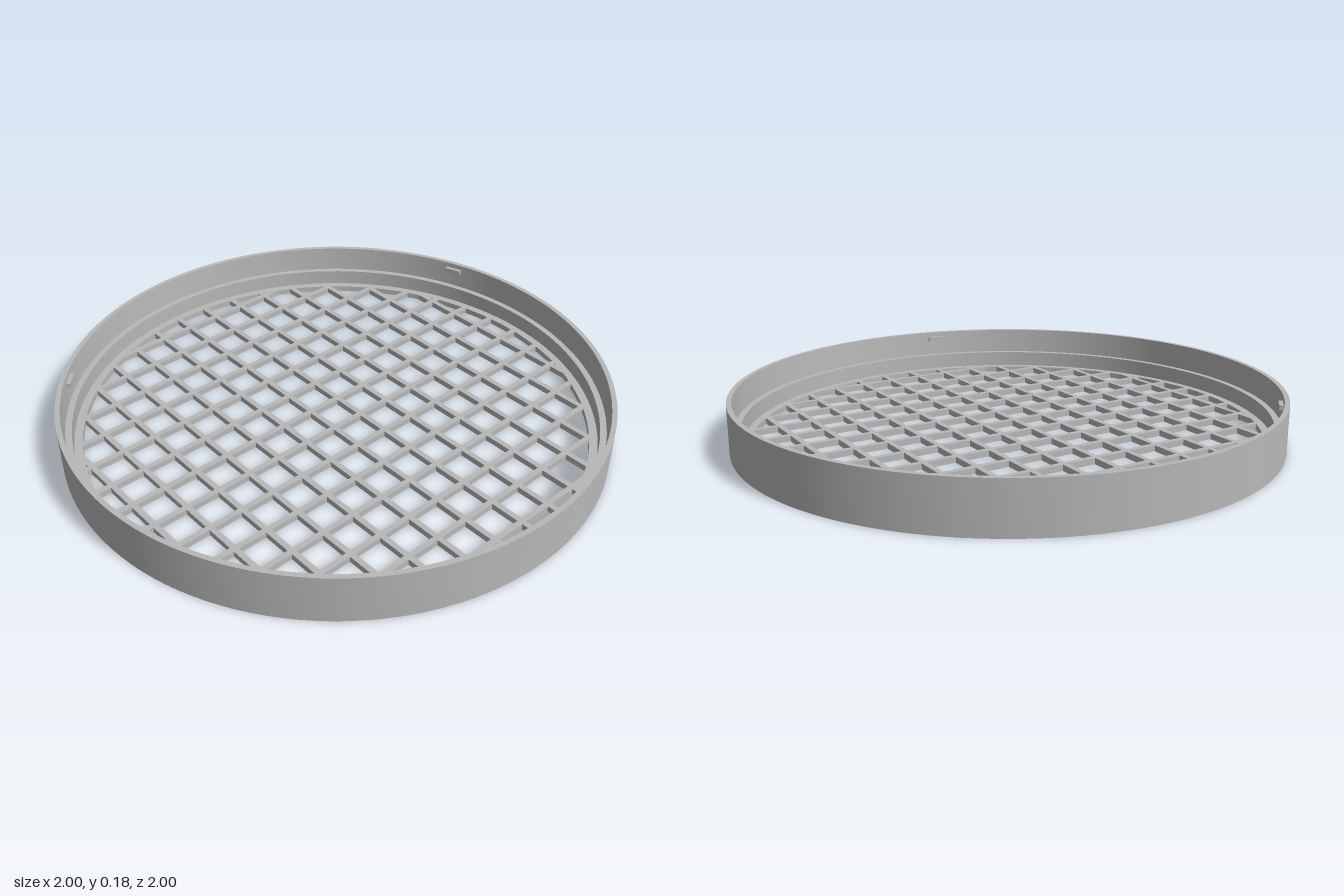
import * as THREE from 'three';
import { toCreasedNormals } from 'three/addons/utils/BufferGeometryUtils.js';

export function createModel() {
  const model = new THREE.Group();
  model.name = 'roundMeshTray';
  const grey = new THREE.MeshStandardMaterial({ color: 0xb8b8b8 });
  grey.name = 'plain grey';

  const add = (name, geometry, parent = model) => {
    const mesh = new THREE.Mesh(geometry, grey);
    mesh.name = name;
    parent.add(mesh);
    return mesh;
  };

  // Stepped ring: floor flange, ledge and thin upper wall
  const floor = 0.022, height = 0.18, opening = 0.925;
  const profile = [
    [opening, 0], [1, 0], [1, height], [0.982, height], [0.978, 0.082],
    [0.955, 0.082], [0.955, floor], [opening, floor], [opening, 0],
  ].map(([r, y]) => new THREE.Vector2(r, y));
  add('rim', toCreasedNormals(new THREE.LatheGeometry(profile, 128), 0.5));

  // Square mesh, each bar trimmed to reach just into the flange
  const pitch = 0.13, width = 0.021, reach = 0.942;
  const mesh = new THREE.Group();
  mesh.name = 'mesh';
  model.add(mesh);
  for (let i = 0; i < 14; i++) {
    const p = (i - 6.5) * pitch;
    const length = 2 * Math.sqrt(reach * reach - p * p);
    add('crossBar', new THREE.BoxGeometry(length, floor, width), mesh).position.set(0, floor / 2, p);
    add('lengthBar', new THREE.BoxGeometry(width, floor, length), mesh).position.set(p, floor / 2, 0);
  }

  // Three small catches inside the upper wall
  for (let i = 0; i < 3; i++) {
    const a = THREE.MathUtils.degToRad(102.5 + i * 120);
    const catchMesh = add('catch', new THREE.BoxGeometry(0.02, 0.018, 0.068));
    catchMesh.position.set(0.975 * Math.cos(a), 0.152, 0.975 * Math.sin(a));
    catchMesh.rotation.y = -a;
  }
  return model;
}
